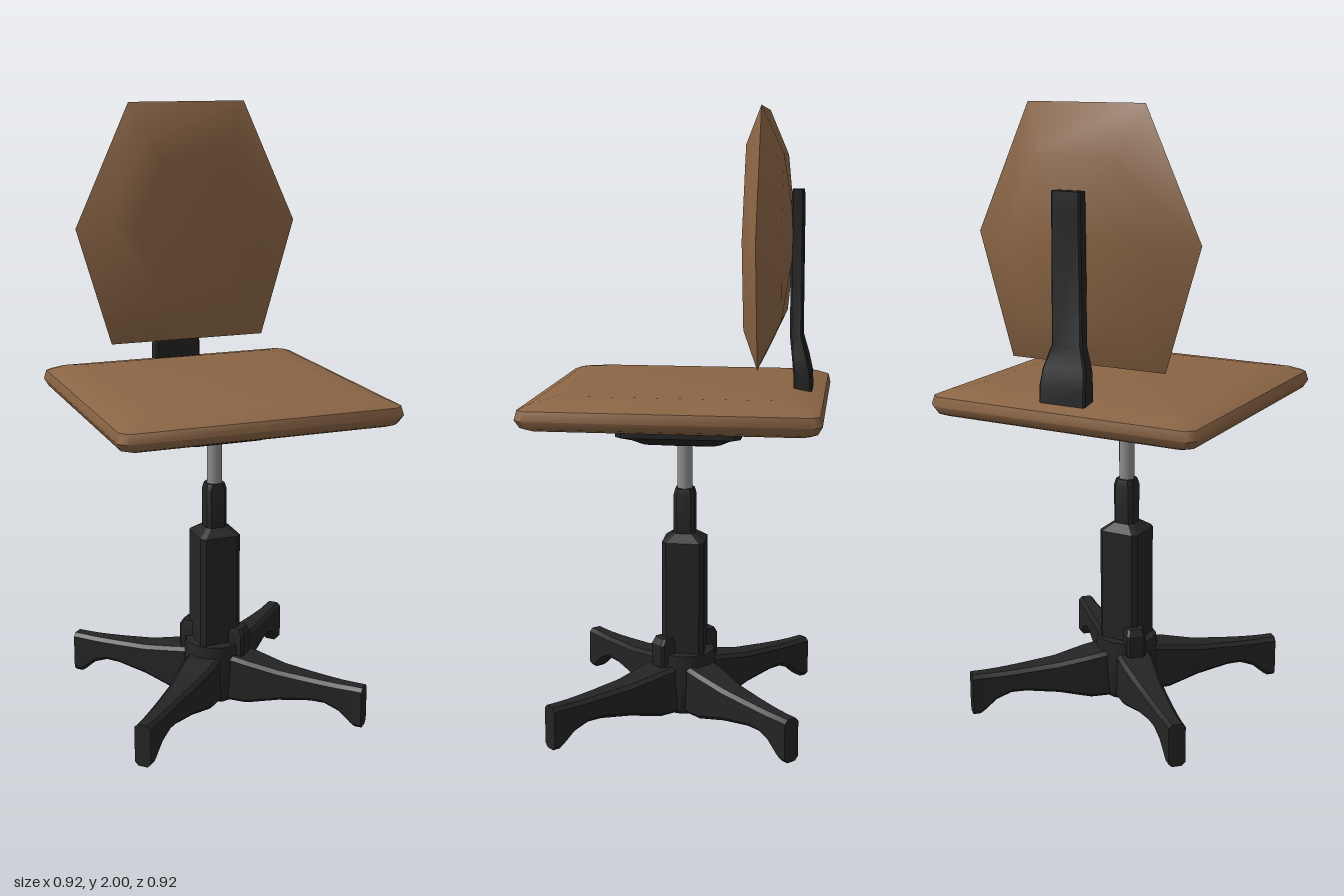
import * as THREE from 'three';
import { toCreasedNormals } from 'three/addons/utils/BufferGeometryUtils.js';

const brown = new THREE.MeshStandardMaterial({ color: 0x8b6545 });
const black = new THREE.MeshStandardMaterial({ color: 0x242424 });
const steel = new THREE.MeshStandardMaterial({ color: 0x8c8c8c });

// Closed skin over equal-sized rings of [x, y, z], capped at both ends.
function loft(rings, crease = 0.7) {
  const n = rings[0].length;
  const pos = rings.flat(2);
  const index = [];
  for (let r = 0; r < rings.length - 1; r++) {
    for (let j = 0; j < n; j++) {
      const k = (j + 1) % n;
      const a = r * n + j, b = r * n + k, c = b + n, d = a + n;
      index.push(a, b, c, a, c, d);
    }
  }
  [0, rings.length - 1].forEach((r, end) => {
    const centre = pos.length / 3;
    for (let i = 0; i < 3; i++) pos.push(rings[r].reduce((s, p) => s + p[i], 0) / n);
    for (let j = 0; j < n; j++) {
      const a = r * n + j, b = r * n + (j + 1) % n;
      if (end) index.push(centre, a, b);
      else index.push(centre, b, a);
    }
  });
  const g = new THREE.BufferGeometry();
  g.setAttribute('position', new THREE.Float32BufferAttribute(pos, 3));
  g.setIndex(index);
  return toCreasedNormals(g, crease);
}

// Rectangle with cut corners, counter-clockwise.
function cutRect(w, h, c) {
  return [[w, -h + c], [w, h - c], [w - c, h], [-w + c, h],
    [-w, h - c], [-w, -h + c], [-w + c, -h], [w - c, -h]];
}

// Upright body from [half width, y, corner cut], with optional half depth and z.
function upright(levels, crease) {
  return loft(levels.map(([w, y, c, d = w, z = 0]) =>
    cutRect(w, d, c).map(([u, v]) => [u, y, z - v])), crease);
}

export function createModel() {
  const model = new THREE.Group();
  const add = (name, geometry, material, parent = model) => {
    const mesh = new THREE.Mesh(geometry, material);
    mesh.name = name;
    parent.add(mesh);
    return mesh;
  };

  // Seat cushion with soft rim, dark shell and tilt housing below
  add('seat', upright([[0.425, 1.035, 0.02], [0.448, 1.045, 0.022], [0.462, 1.07, 0.025],
    [0.455, 1.1, 0.025], [0.42, 1.115, 0.025], [0.34, 1.13, 0.03]], 0.9), brown);
  add('seatShell', upright([[0.2, 1.015, 0.01], [0.43, 1.037, 0.02]]), black);
  add('tiltHousing', upright([[0.03, 0.92, 0.01], [0.13, 0.942, 0.02], [0.16, 0.96, 0.02],
    [0.2, 0.975, 0.02], [0.2, 1.03, 0.02]], 0.4), black);

  // Six-sided backrest, thickest in the middle
  const hexagon = [[0.385, 1.6], [0.2, 2], [-0.2, 2], [-0.385, 1.6], [-0.27, 1.21], [0.27, 1.21]];
  const backRings = [[0.15, -0.347], [0.64, -0.322], [1, -0.256], [0.71, -0.206], [0.5, -0.203]];
  add('backrest', loft(backRings.map(([s, z]) =>
    hexagon.map(([x, y]) => [x * s, 1.6 + (y - 1.6) * s, z])), 0.9), brown);

  // Back support with wide foot set into the seat
  add('backSupport', upright([[0.08, 1.09, 0.006, 0.029, -0.388], [0.08, 1.17, 0.006, 0.028, -0.384],
    [0.075, 1.22, 0.006, 0.025, -0.376], [0.053, 1.29, 0.006, 0.02, -0.362],
    [0.05, 1.7, 0.006, 0.02, -0.361], [0.05, 1.75, 0.006, 0.018, -0.361]], 0.5), black);

  // Gas lift, collar and column
  const lift = add('gasLift', new THREE.CylinderGeometry(0.025, 0.025, 0.2, 16), steel);
  lift.position.y = 0.85;
  add('collar', upright([[0.035, 0.6, 0.012], [0.035, 0.755, 0.012], [0.03, 0.775, 0.012]], 0.4), black);
  add('column', upright([[0.07, 0.15, 0.015], [0.07, 0.6, 0.015], [0.037, 0.625, 0.012]], 0.4), black);

  // Base
  const base = new THREE.Group();
  base.name = 'base';
  model.add(base);
  const hubProfile = [[0, 0.015], [0.085, 0.015], [0.1, 0.035], [0.108, 0.15], [0.1, 0.22], [0, 0.23]]
    .map(([r, y]) => new THREE.Vector2(r, y));
  add('hub', toCreasedNormals(new THREE.LatheGeometry(hubProfile, 12), 0.6), black, base);

  // Clamp bar through the column, along one diagonal
  const clamp = add('clamp', upright([[0.115, 0.17, 0.008, 0.032], [0.12, 0.19, 0.008, 0.032],
    [0.12, 0.255, 0.008, 0.032], [0.108, 0.275, 0.008, 0.028]], 0.4), black, base);
  clamp.rotation.y = -Math.PI / 4;

  // Four diagonal legs: distance, bottom, top, half width
  const sections = [[0.04, 0.02, 0.19, 0.06], [0.14, 0.022, 0.175, 0.058], [0.25, 0.048, 0.155, 0.044],
    [0.36, 0.065, 0.147, 0.036], [0.41, 0.065, 0.144, 0.033], [0.46, 0.045, 0.142, 0.03],
    [0.5, 0.01, 0.142, 0.028], [0.515, 0, 0.142, 0.028], [0.54, 0, 0.142, 0.028]];
  const legShape = loft(sections.map(([d, lo, hi, w]) =>
    cutRect((hi - lo) / 2, w, 0.012).map(([u, v]) => [d, (lo + hi) / 2 + u, v])), 0.7);
  for (let i = 0; i < 4; i++) {
    add('leg' + (i + 1), legShape, black, base).rotation.y = Math.PI / 4 + i * Math.PI / 2;
  }
  return model;
}
